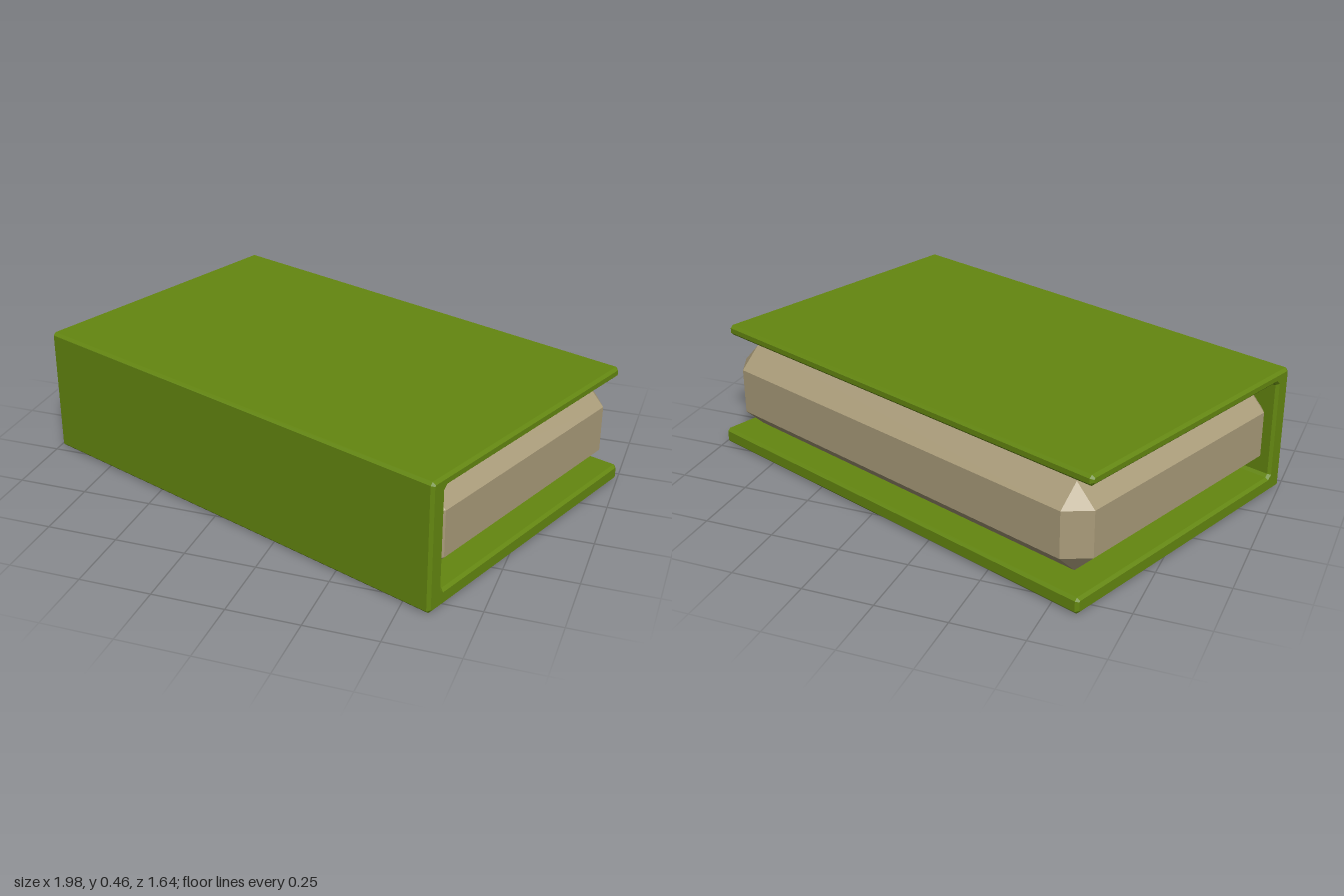
import * as THREE from 'three';
import { ConvexGeometry } from 'three/addons/geometries/ConvexGeometry.js';

// Box with every edge cut once and a triangle at each corner
function chamferedBox(hx, hy, hz, c) {
  const points = [];
  for (const sx of [-1, 1]) for (const sy of [-1, 1]) for (const sz of [-1, 1]) {
    points.push(
      new THREE.Vector3(sx * hx, sy * (hy - c), sz * (hz - c)),
      new THREE.Vector3(sx * (hx - c), sy * hy, sz * (hz - c)),
      new THREE.Vector3(sx * (hx - c), sy * (hy - c), sz * hz)
    );
  }
  return new ConvexGeometry(points);
}

// Outline with each corner (convex or concave) cut by distance c
function chamferedShape(corners, c) {
  const pts = corners.map(([x, y]) => new THREE.Vector2(x, y));
  const n = pts.length, out = [];
  pts.forEach((p, i) => {
    for (const q of [pts[(i + n - 1) % n], pts[(i + 1) % n]])
      out.push(q.clone().sub(p).setLength(c).add(p));
  });
  return new THREE.Shape(out);
}

export function createModel() {
  const book = new THREE.Group();
  book.name = 'book';
  const green = new THREE.MeshStandardMaterial({ color: 0x648710, flatShading: true });
  const paper = new THREE.MeshStandardMaterial({ color: 0xaa9c7a, flatShading: true });

  // Cover: C-shaped section (spine on the left, longer bottom board)
  const halfLength = 0.853, bevel = 0.01;
  const section = chamferedShape([
    [-0.557, 0], [0.557, 0], [0.557, 0.058], [-0.492, 0.058],
    [-0.492, 0.42], [0.505, 0.42], [0.505, 0.458], [-0.557, 0.458]
  ], bevel);
  const coverGeometry = new THREE.ExtrudeGeometry(section, {
    depth: 2 * (halfLength - bevel), bevelEnabled: true, bevelSegments: 1,
    bevelSize: bevel, bevelThickness: bevel, bevelOffset: -bevel
  });
  coverGeometry.translate(0, 0, -(halfLength - bevel));
  coverGeometry.rotateY(Math.PI / 2);
  const cover = new THREE.Mesh(coverGeometry, green);
  cover.name = 'cover';

  // Page block, sunk slightly into the spine
  const pages = new THREE.Mesh(chamferedBox(0.83, 0.157, 0.53, 0.074), paper);
  pages.name = 'pages';
  pages.position.y = 0.232;

  book.add(cover, pages);

  // The book lies turned on the ground
  book.rotation.y = -0.366;
  const model = new THREE.Group();
  model.add(book);
  return model;
}
